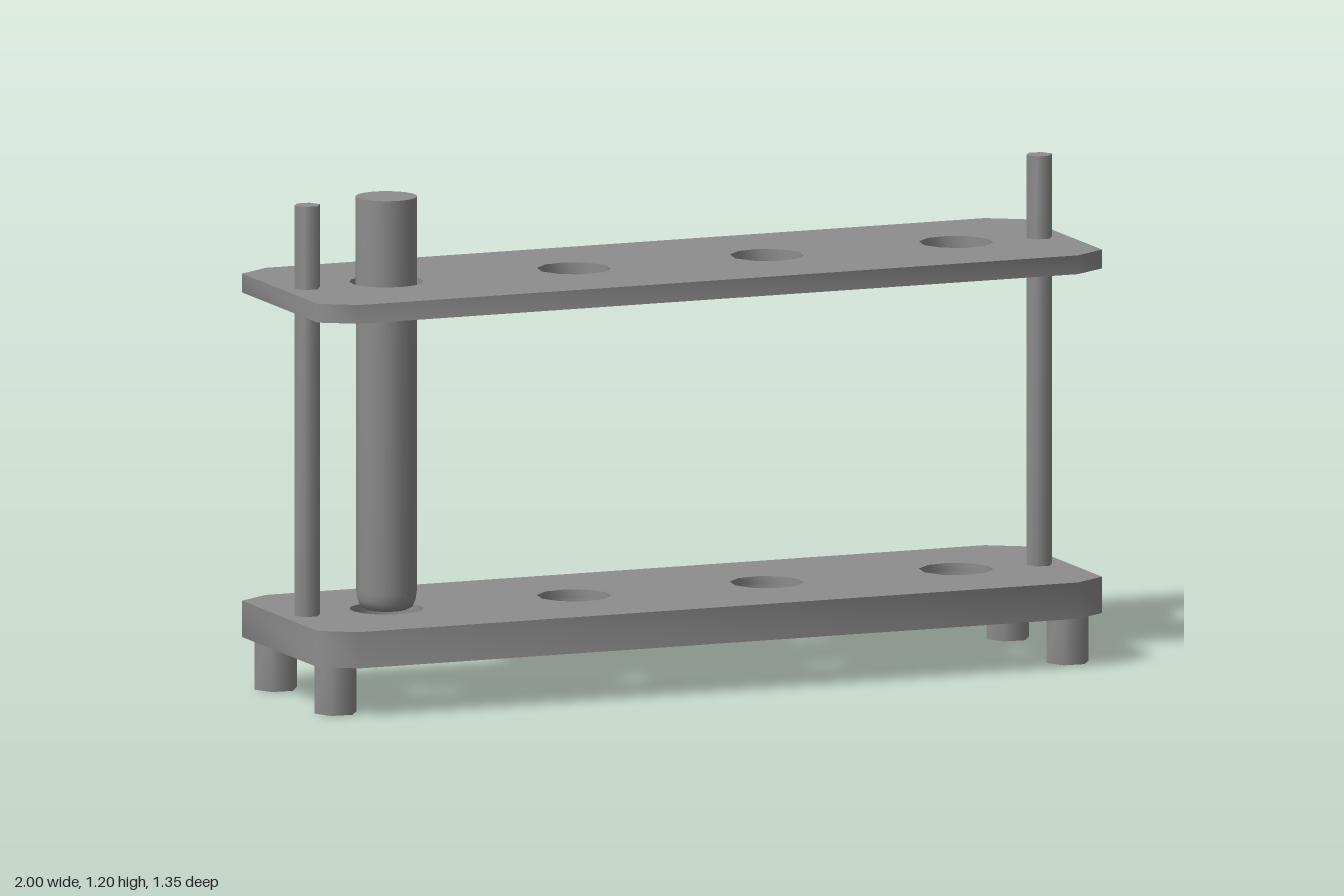
import * as THREE from 'three';
import { toCreasedNormals } from 'three/addons/utils/BufferGeometryUtils.js';

const ANGLE = 0.473; // rack is turned about the vertical axis
const C = Math.cos(ANGLE), S = Math.sin(ANGLE);

// rack coordinates (along, across) to model (x, z)
const place = (u, v) => new THREE.Vector2(u * C - v * S, u * S + v * C);

const HOLES = [-0.731, -0.251, 0.243, 0.727];
const HOLE_RADIUS = 0.088;
const SKIRT = 0.004; // wall thickness of the base skirt

// rectangle with chamfered corners
function outline(inset) {
  const L = 1.004 - inset, W = 0.287 - inset, cu = 0.084, cv = 0.054;
  return [
    place(L - cu, -W), place(L, -W + cv), place(L, W - cv), place(L - cu, W),
    place(-L + cu, W), place(-L, W - cv), place(-L, -W + cv), place(-L + cu, -W),
  ];
}

function circle(center, radius, sides) {
  return Array.from({ length: sides }, (_, k) => {
    const a = (k / sides) * Math.PI * 2;
    return new THREE.Vector2(center.x + radius * Math.sin(a), center.y + radius * Math.cos(a));
  });
}

export function createModel() {
  const model = new THREE.Group();
  const material = new THREE.MeshStandardMaterial({ color: 0x8d8d8d });
  const thin = new THREE.MeshStandardMaterial({ color: 0x8d8d8d, side: THREE.DoubleSide });

  function add(name, geometry, crease = 1.1) {
    const mesh = new THREE.Mesh(toCreasedNormals(geometry, crease), material);
    mesh.name = name;
    model.add(mesh);
    return mesh;
  }

  // horizontal slab with the rack outline and the given openings
  function slab(name, inset, openings, bottom, top) {
    const shape = new THREE.Shape(outline(inset));
    shape.holes = openings.map((points) => new THREE.Path(points));
    const geometry = new THREE.ExtrudeGeometry(shape, { depth: top - bottom, bevelEnabled: false });
    geometry.rotateX(Math.PI / 2).translate(0, top, 0);
    add(name, geometry);
  }

  // upright six-sided post
  function post(name, u, v, radius, bottom, top) {
    const p = place(u, v);
    const geometry = new THREE.CylinderGeometry(radius, radius, top - bottom, 6);
    add(name, geometry).position.set(p.x, (top + bottom) / 2, p.y);
  }

  // the base is an upside-down tray: a thin top inside a thin skirt
  const sides = (i) => (i === 0 ? 16 : 10);
  const tubeHoles = HOLES.map((u, i) => circle(place(u, 0), HOLE_RADIUS, sides(i)));
  slab('upperPlate', 0, tubeHoles, 0.946, 0.991);
  slab('basePlate', SKIRT, tubeHoles, 0.187, 0.207);
  slab('baseSkirt', 0, [outline(SKIRT)], 0.12, 0.207);

  // short collars under the base holes
  HOLES.forEach((u, i) => {
    const p = place(u, 0);
    const geometry = new THREE.CylinderGeometry(HOLE_RADIUS, HOLE_RADIUS, 0.022, sides(i), 1, true);
    const collar = add('holeCollar', geometry);
    collar.material = thin;
    collar.position.set(p.x, 0.176, p.y);
  });

  post('rightRod', -0.94, 0.014, 0.032, 0.2, 1.19);
  post('leftRod', 0.934, 0.014, 0.032, 0.2, 1.19);
  for (const u of [-0.938, 0.936]) {
    for (const v of [-0.184, 0.184]) post('foot', u, v, 0.053, 0, 0.19);
  }

  // test tube standing in the first hole, with a rounded bottom
  const profile = [
    [0, 0.205], [0.05, 0.207], [0.062, 0.213], [0.069, 0.23], [0.072, 0.25], [0.073, 1.195], [0, 1.195],
  ].map(([r, y]) => new THREE.Vector2(r, y));
  const t = place(HOLES[0], 0);
  add('testTube', new THREE.LatheGeometry(profile, 20), 0.9).position.set(t.x, 0, t.y);

  return model;
}
